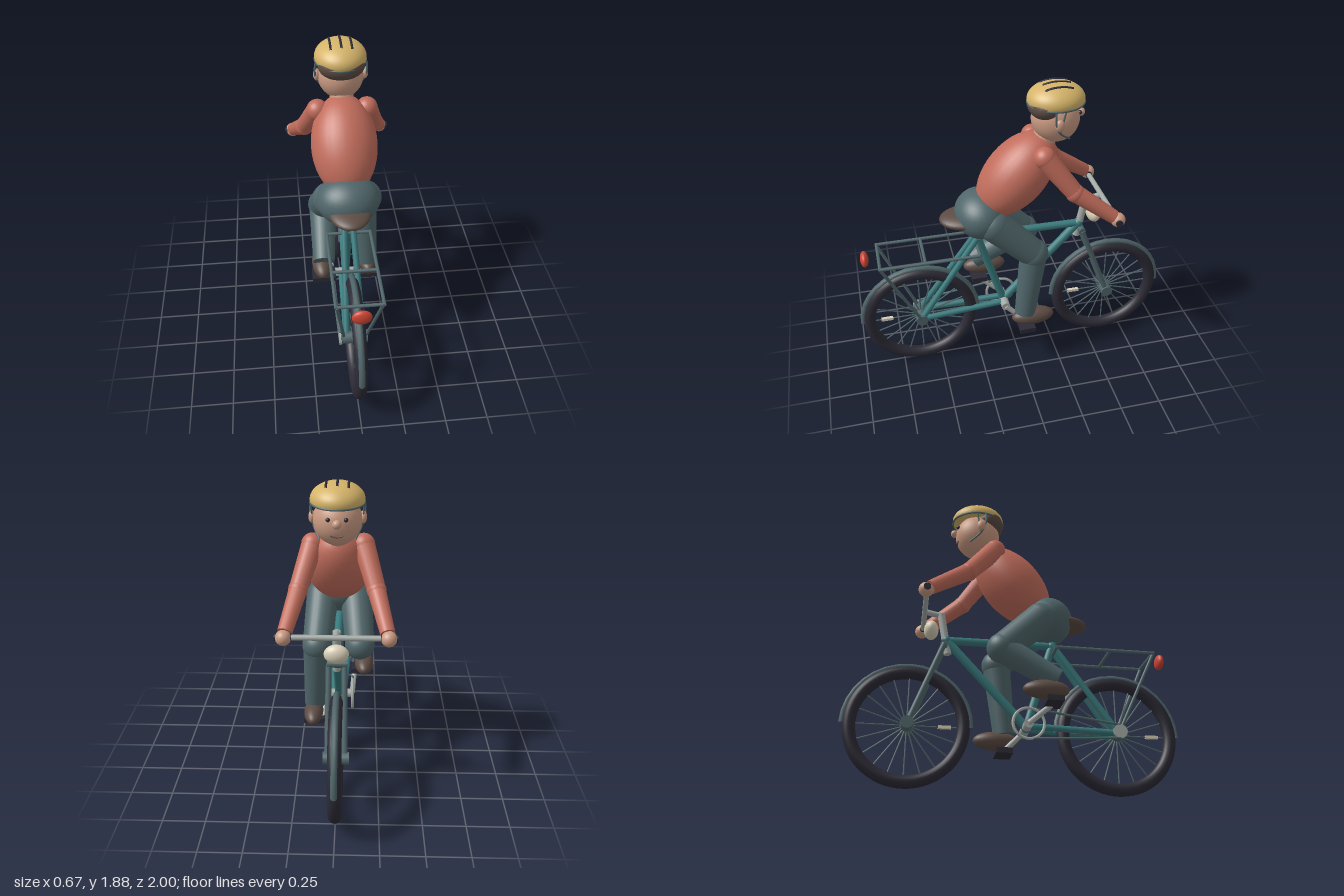
import * as THREE from 'three';

const mat = (name, color) => {
  const m = new THREE.MeshStandardMaterial({ color });
  m.name = name;
  return m;
};
const V = (p) => new THREE.Vector3(...p);

export function createModel() {
  const root = new THREE.Group();
  root.name = 'cyclist';
  const black = mat('tyre black', 0x2c2a35);
  const teal = mat('frame teal', 0x3a7a7d);
  const slate = mat('slate', 0x50666a);
  const shirt = mat('shirt red', 0xc06c5b);
  const skin = mat('skin', 0xc99a82);
  const yellow = mat('helmet yellow', 0xd4b369);
  const brown = mat('brown', 0x5c4b43);
  const red = mat('lamp red', 0xcc4433);
  const cream = mat('lamp cream', 0xd8cfb8);
  const silver = mat('metal', 0xa4aaa5);

  const add = (name, geo, material, pos = [0, 0, 0], parent = root) => {
    const m = new THREE.Mesh(geo, material);
    m.name = name;
    m.position.set(...pos);
    parent.add(m);
    return m;
  };
  const ball = (name, material, pos, r, parent = root) => {
    const m = add(name, new THREE.SphereGeometry(1, 32, 20), material, pos, parent);
    m.scale.set(...(Array.isArray(r) ? r : [r, r, r]));
    return m;
  };
  // Straight, optionally tapered tube from a to b
  const rod = (name, material, a, b, ra, rb = ra, parent = root, sides = 16) => {
    const A = V(a), B = V(b), d = B.clone().sub(A);
    const m = add(name, new THREE.CylinderGeometry(rb, ra, d.length(), sides), material,
      A.clone().add(B).multiplyScalar(0.5).toArray(), parent);
    m.quaternion.setFromUnitVectors(new THREE.Vector3(0, 1, 0), d.normalize());
    return m;
  };
  const curveTube = (name, material, pts, r, parent = root) =>
    add(name, new THREE.TubeGeometry(new THREE.CatmullRomCurve3(pts.map(V)), 20, r, 8), material, [0, 0, 0], parent);

  // Wheels with spokes, reflector and mudguard
  const AX = 0.363, RZ = 0.616;
  for (const [name, z] of [['rearWheel', RZ], ['frontWheel', -RZ]]) {
    const w = new THREE.Group();
    w.name = name;
    w.position.set(0, AX, z);
    root.add(w);
    add('tyre', new THREE.TorusGeometry(0.324, 0.038, 16, 64), black, [0, 0, 0], w).rotation.y = Math.PI / 2;
    add('mudguard', new THREE.TorusGeometry(0.364, 0.018, 8, 16, Math.PI), slate, [0, 0, 0], w).rotation.y = Math.PI / 2;
    rod('hub', slate, [-0.075, 0, 0], [0.075, 0, 0], 0.037, 0.037, w);
    for (let i = 0; i < 20; i++) {
      const a = (i / 20) * Math.PI * 2;
      rod('spoke', slate, [0, 0, 0], [0, Math.sin(a) * 0.3, Math.cos(a) * 0.3], 0.0045, 0.0045, w, 6);
    }
    add('reflector', new THREE.BoxGeometry(0.02, 0.018, 0.075), cream, [0, 0, 0.215], w);
  }

  // Frame
  const BB = [0, 0.385, 0.075], seatTop = [0, 0.915, 0.236], head = [0, 0.91, -0.41];
  rod('seatTube', teal, BB, seatTop, 0.024);
  rod('topTube', teal, seatTop, head, 0.024);
  rod('downTube', teal, BB, head, 0.026);
  rod('seatPost', teal, seatTop, [0, 1.05, 0.27], 0.02);
  for (const p of [BB, seatTop, head]) ball('frameJoint', teal, p, 0.03);
  rod('bottomBracket', silver, [-0.09, BB[1], BB[2]], [0.09, BB[1], BB[2]], 0.028);
  for (const s of [-1, 1]) {
    rod('chainStay', teal, [s * 0.05, AX, RZ], [s * 0.03, BB[1], BB[2]], 0.019);
    rod('seatStay', teal, [s * 0.05, AX, RZ], [s * 0.025, 0.915, 0.236], 0.019);
    rod('forkLeg', slate, [s * 0.05, AX, -RZ], [s * 0.045, 0.87, -0.425], 0.017);
  }
  rod('forkCrown', slate, [-0.055, 0.87, -0.425], [0.055, 0.87, -0.425], 0.022);

  // Steering and lamps
  rod('steeringColumn', silver, [0, 0.82, -0.4], [0, 1.085, -0.45], 0.023);
  rod('stem', silver, [0, 1.075, -0.445], [0, 1.095, -0.55], 0.018);
  rod('handlebar', silver, [-0.31, 1.095, -0.55], [0.31, 1.095, -0.55], 0.016);
  for (const s of [-1, 1]) rod('grip', black, [s * 0.24, 1.095, -0.55], [s * 0.333, 1.095, -0.55], 0.021);
  ball('headlamp', cream, [0, 0.973, -0.505], [0.07, 0.056, 0.044]);
  ball('tailLamp', red, [0, 0.856, 0.92], [0.055, 0.046, 0.025]);

  // Luggage rack
  for (const s of [-1, 1]) {
    rod('rackRail', slate, [s * 0.13, 0.856, 0.24], [s * 0.13, 0.856, 0.845], 0.01);
    rod('rackStrut', slate, [s * 0.125, 0.856, 0.84], [s * 0.065, AX, RZ], 0.01);
  }
  for (const z of [0.24, 0.57, 0.838]) rod('rackBar', slate, [-0.135, 0.856, z], [0.135, 0.856, z], 0.01);

  // Drive train on one side, cranks and pedals on both
  const cx = -0.088;
  add('chainring', new THREE.TorusGeometry(0.092, 0.009, 8, 32), silver, [cx, BB[1], BB[2]]).rotation.y = Math.PI / 2;
  rod('sprocket', silver, [cx - 0.006, AX, RZ], [cx + 0.006, AX, RZ], 0.042);
  for (const s of [-1, 1]) rod('chain', slate, [cx, AX + s * 0.04, RZ], [cx, BB[1] + s * 0.092, BB[2]], 0.007);
  for (const [s, y, z] of [[1, 0.27, -0.04], [-1, 0.5, 0.21]]) {
    rod('crank', silver, [s * 0.085, BB[1], BB[2]], [s * 0.1, y, z], 0.017);
    add('pedal', new THREE.BoxGeometry(0.145, 0.033, 0.1), black, [s * 0.15, y, z]);
  }
  ball('saddle', brown, [0, 1.06, 0.285], [0.125, 0.045, 0.172]);

  // Body
  ball('hips', slate, [0, 1.08, 0.205], [0.186, 0.146, 0.16]);
  ball('torso', shirt, [0, 1.32, -0.01], [0.195, 0.3, 0.178]).rotation.x = -0.72;

  // Arms
  for (const s of [-1, 1]) {
    const sh = [s * 0.145, 1.485, -0.14], el = [s * 0.218, 1.275, -0.305], wr = [s * 0.278, 1.115, -0.53];
    ball('shoulder', shirt, sh, 0.064);
    rod('upperArm', shirt, sh, el, 0.063, 0.053);
    ball('elbow', shirt, el, 0.056);
    rod('forearm', shirt, el, wr, 0.053, 0.042);
    ball('hand', skin, [s * 0.285, 1.095, -0.555], 0.044);
  }

  // Legs: one pedal down, the other up
  const legs = [
    { s: 1, knee: [0.13, 0.82, -0.09], ankle: [0.15, 0.38, -0.035], shoe: [0.157, 0.343, -0.085] },
    { s: -1, knee: [-0.13, 0.825, -0.09], ankle: [-0.15, 0.635, 0.235], shoe: [-0.16, 0.568, 0.166] },
  ];
  for (const { s, knee, ankle, shoe } of legs) {
    const hip = [s * 0.105, 1.05, 0.15];
    ball('hipJoint', slate, hip, 0.1);
    rod('thigh', slate, hip, knee, 0.1, 0.088, root, 24);
    ball('knee', slate, knee, 0.091);
    rod('shin', slate, knee, ankle, 0.085, 0.066, root, 24);
    ball('shoe', brown, shoe, [0.06, 0.057, 0.137]);
  }

  // Head
  const HZ = -0.238;
  rod('neck', skin, [0, 1.47, -0.14], [0, 1.6, -0.21], 0.07);
  ball('head', skin, [0, 1.66, HZ], [0.135, 0.142, 0.14]);
  ball('hair', brown, [0, 1.748, -0.172], [0.134, 0.082, 0.098]);
  ball('nose', skin, [0, 1.675, -0.387], 0.025);
  curveTube('mouth', brown, [[-0.035, 1.605, -0.363], [0, 1.598, -0.366], [0.035, 1.605, -0.363]], 0.004);
  for (const s of [-1, 1]) {
    ball('eye', black, [s * 0.048, 1.695, -0.367], 0.012);
    ball('ear', skin, [s * 0.14, 1.67, -0.225], [0.02, 0.036, 0.028]);
    curveTube('helmetStrap', slate, [[s * 0.147, 1.755, -0.2], [s * 0.15, 1.69, -0.2],
      [s * 0.132, 1.622, -0.228], [s * 0.098, 1.565, -0.295]], 0.006);
    rod('strapBranch', slate, [s * 0.145, 1.755, -0.255], [s * 0.134, 1.622, -0.23], 0.005);
  }

  // Helmet: dome, closed underside, rim and vents
  const hr = [0.15, 0.095, 0.165], hc = [0, 1.775, HZ], cut = 1.8;
  const dome = add('helmet', new THREE.SphereGeometry(1, 40, 20, 0, Math.PI * 2, 0, cut), yellow, hc);
  dome.scale.set(...hr);
  const base = add('helmetUnderside', new THREE.CircleGeometry(Math.sin(cut), 40), yellow,
    [0, hc[1] + Math.cos(cut) * hr[1], HZ]);
  base.rotation.x = Math.PI / 2;
  base.scale.set(hr[0], hr[2], 1);
  const rim = add('helmetRim', new THREE.TorusGeometry(0.98, 0.04, 8, 48), slate, [0, 1.757, HZ]);
  rim.rotation.x = Math.PI / 2;
  rim.scale.set(hr[0], hr[2], 0.16);
  for (const x of [-0.06, 0, 0.06]) {
    const pts = [-0.08, -0.04, 0, 0.04, 0.08].map((z) =>
      [x, hc[1] + hr[1] * Math.sqrt(1 - (x / hr[0]) ** 2 - (z / hr[2]) ** 2), HZ + z]);
    curveTube('helmetVent', black, pts, 0.007);
  }
  return root;
}
